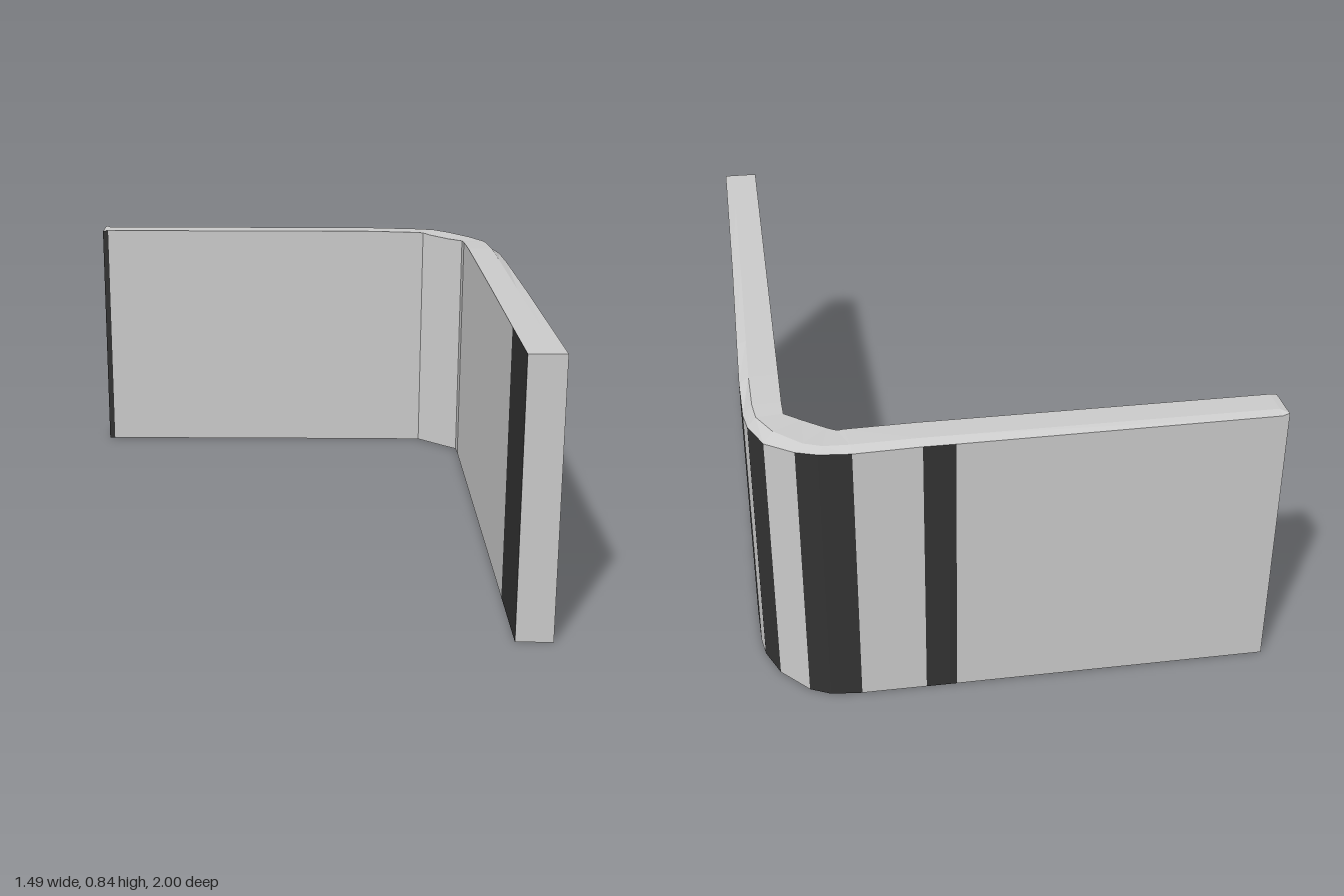
import * as THREE from 'three';

const lightGrey = new THREE.MeshStandardMaterial({ name: 'lightGrey', color: 0xcccccc });
const darkGrey = new THREE.MeshStandardMaterial({ name: 'darkGrey', color: 0x333333 });

// Lofts a stretch of wall through stations: [outerX, outerZ, outerTop, innerX, innerZ, innerTop, darkSide].
// darkSide applies to the panel after the station: 'outer', 'inner' or nothing.
function wall(name, stations, capStart, capEnd) {
  const faces = { light: [], dark: [] };
  const sections = stations.map(([ox, oz, ot, ix, iz, it]) => {
    const rx = ix + (ox - ix) * 0.75, rz = iz + (oz - iz) * 0.75; // ridge of the softened top edge
    return [[ix, 0, iz], [ix, it, iz], [rx, it, rz], [ox, ot, oz], [ox, 0, oz]];
  });
  const fan = (list, pts) => {
    for (let i = 1; i < pts.length - 1; i++) list.push(...pts[0], ...pts[i], ...pts[i + 1]);
  };
  for (let s = 0; s < sections.length - 1; s++) {
    const a = sections[s], b = sections[s + 1], side = stations[s][6];
    for (let k = 0; k < 5; k++) {
      const n = (k + 1) % 5;
      const dark = (k === 0 && side === 'inner') || (k === 3 && side === 'outer');
      fan(dark ? faces.dark : faces.light, [a[n], a[k], b[k], b[n]]);
    }
  }
  if (capStart) fan(faces.light, sections[0]);
  if (capEnd) fan(faces.light, [...sections[sections.length - 1]].reverse());

  const geometry = new THREE.BufferGeometry();
  geometry.setAttribute('position', new THREE.Float32BufferAttribute([...faces.light, ...faces.dark], 3));
  geometry.addGroup(0, faces.light.length / 3, 0);
  geometry.addGroup(faces.light.length / 3, faces.dark.length / 3, 1);
  geometry.computeVertexNormals();
  const mesh = new THREE.Mesh(geometry, [lightGrey, darkGrey]);
  mesh.name = name;
  return mesh;
}

export function createModel() {
  const group = new THREE.Group();
  group.name = 'cornerWall';

  // Stations shared where the stretches meet
  const backJoint = [0.46, -0.99, 0.825, 0.47, -0.88, 0.838, 'outer'];
  const sideJoint = [0.74, -0.70, 0.80, 0.63, -0.70, 0.832, 'outer'];

  // Back wall, running left to right across the rear
  group.add(wall('backWall', [
    [-0.75, -1.0, 0.842, -0.75, -0.89, 0.84, 'inner'],
    [-0.73, -1.0, 0.835, -0.73, -0.89, 0.842],
    [0.18, -0.993, 0.83, 0.18, -0.884, 0.842, 'outer'],
    [0.27, -0.992, 0.83, 0.27, -0.883, 0.842],
    backJoint,
  ], true, false));

  // Faceted bend with a dipped top
  group.add(wall('cornerBend', [
    backJoint,
    [0.55, -0.98, 0.825, 0.49, -0.88, 0.836, 'outer'],
    [0.61, -0.95, 0.82, 0.515, -0.857, 0.832],
    [0.69, -0.86, 0.80, 0.58, -0.797, 0.828, 'outer'],
    [0.73, -0.765, 0.80, 0.628, -0.755, 0.828],
    sideJoint,
  ], false, false));

  // Side wall, running forward to the front end
  group.add(wall('sideWall', [
    sideJoint,
    [0.744, -0.55, 0.82, 0.63, -0.55, 0.838, 'outer'],
    [0.743, -0.33, 0.83, 0.63, -0.33, 0.84],
    [0.74, 0.17, 0.84, 0.63, 0.17, 0.842],
    [0.74, 0.69, 0.842, 0.63, 0.69, 0.842, 'inner'],
    [0.74, 1.0, 0.843, 0.63, 1.0, 0.843],
  ], false, true));

  return group;
}
